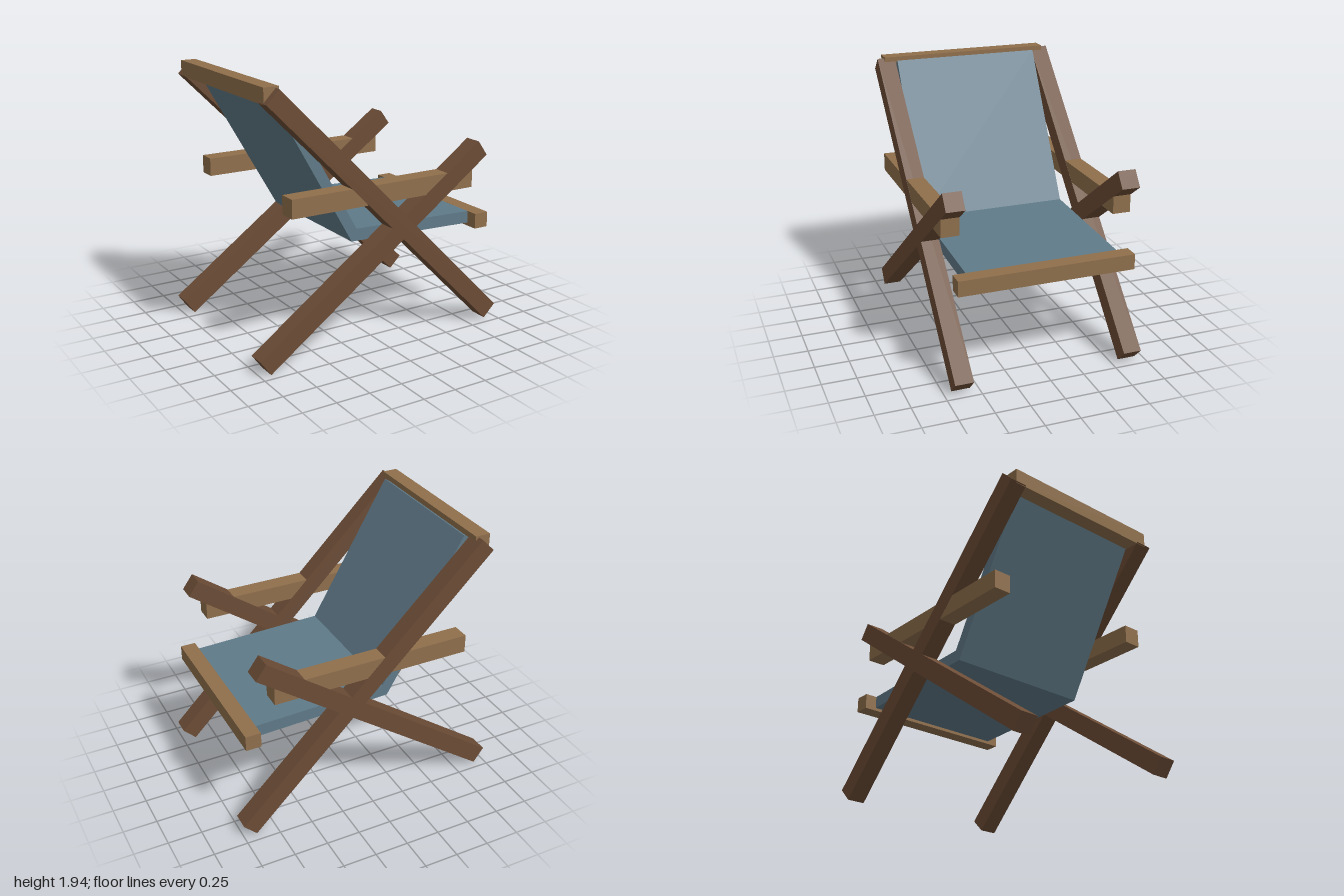
import * as THREE from 'three';

const darkWood = new THREE.MeshStandardMaterial({ color: 0x6b4c36 });
darkWood.name = 'darkWood';
const lightWood = new THREE.MeshStandardMaterial({ color: 0x8f6f4c });
lightWood.name = 'lightWood';
const canvas = new THREE.MeshStandardMaterial({ color: 0x5f7a88 });
canvas.name = 'canvas';

const SIDE_Z = 0.626;

function addBox(parent, name, size, position, material) {
  const mesh = new THREE.Mesh(new THREE.BoxGeometry(...size), material);
  mesh.name = name;
  mesh.position.set(...position);
  parent.add(mesh);
  return mesh;
}

// Square beam running between two points of the side plane
function addBeam(parent, name, [x0, y0], [x1, y1], z) {
  const length = Math.hypot(x1 - x0, y1 - y0);
  const beam = addBox(parent, name, [length, 0.133, 0.133],
    [(x0 + x1) / 2, (y0 + y1) / 2, z], darkWood);
  beam.rotation.z = Math.atan2(y1 - y0, x1 - x0);
}

export function createModel() {
  const chair = new THREE.Group();
  chair.name = 'deckChair';

  // Crossed side frames with armrests; the chair faces +x
  for (const side of [1, -1]) {
    const frame = new THREE.Group();
    frame.name = side > 0 ? 'frontSideFrame' : 'backSideFrame';
    const z = side * SIDE_Z;
    addBeam(frame, 'backrestBeam', [0.952, 0.055], [-0.872, 1.883], z);
    addBeam(frame, 'armSupportBeam', [-0.96, 0.055], [0.825, 1.342], z);
    addBox(frame, 'armrest', [1.483, 0.134, 0.131], [-0.006, 1.132, z], lightWood);
    chair.add(frame);
  }

  // Crossbars holding the cloth
  addBox(chair, 'topCrossbar', [0.113, 0.113, 1.284], [-0.857, 1.884, 0], lightWood);
  addBox(chair, 'seatCrossbar', [0.113, 0.113, 1.284], [0.879, 0.774, 0], lightWood);

  // Cloth seat and back, one bent profile
  const profile = new THREE.Shape([
    [-0.2, 0.775], [0.86, 0.739], [0.86, 0.829], [-0.16, 0.862],
    [-0.765, 1.918], [-0.832, 1.88],
  ].map(([x, y]) => new THREE.Vector2(x, y)));
  const width = 1.106;
  const geometry = new THREE.ExtrudeGeometry(profile, { depth: width, bevelEnabled: false });
  geometry.translate(0, 0, -width / 2);
  const cloth = new THREE.Mesh(geometry, canvas);
  cloth.name = 'clothSeat';
  chair.add(cloth);

  return chair;
}
